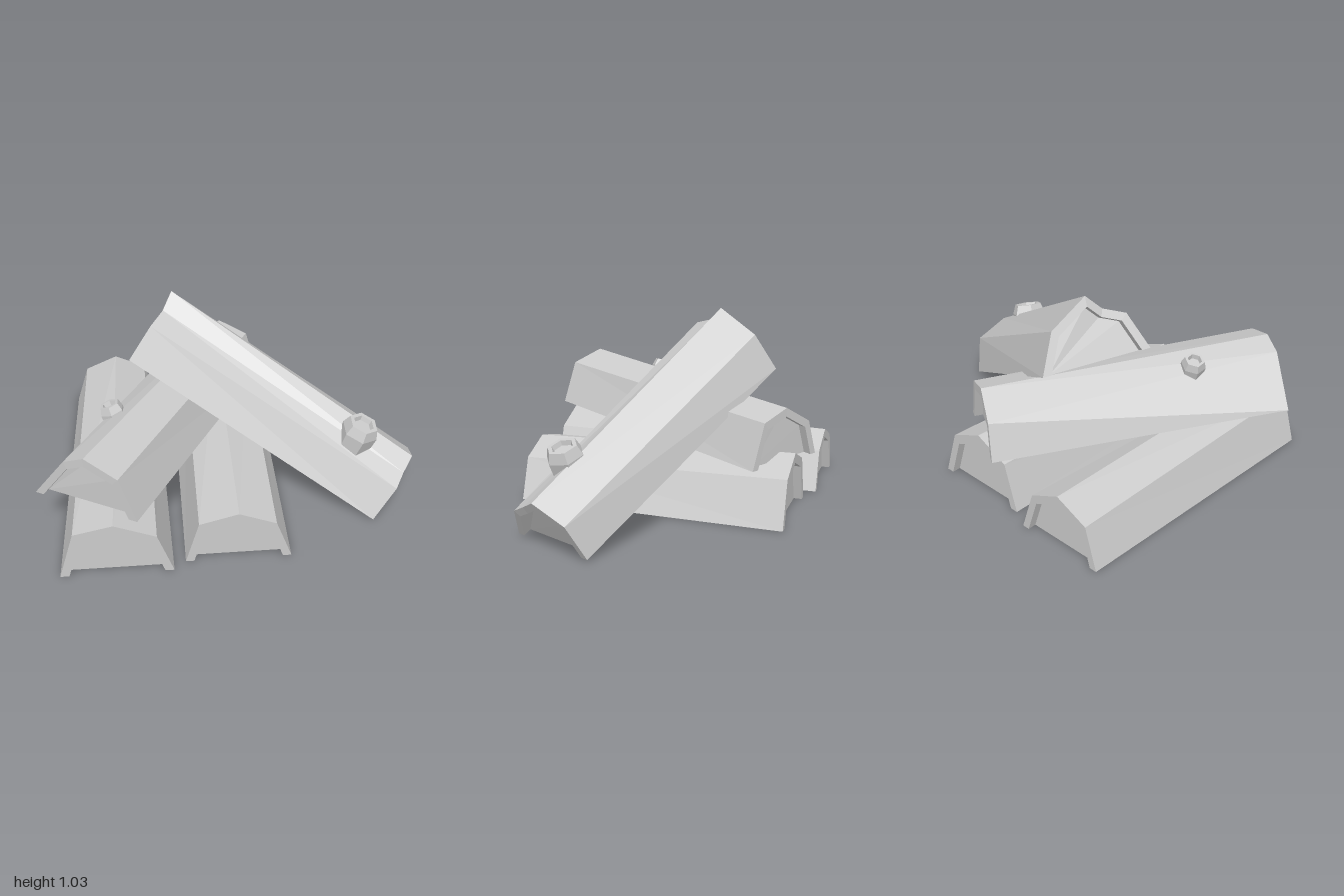
import * as THREE from 'three';

const material = new THREE.MeshStandardMaterial({ color: 0xcccccc, flatShading: true });
const RECESS = 0.045;
const INNER = 0.84;

// Split log lofted between two arch sections, each listed left base -> top -> right base
function makeLog(name, frontPts, backPts) {
  const front = frontPts.map((p) => new THREE.Vector3(...p));
  const back = backPts.map((p) => new THREE.Vector3(...p));
  const n = front.length - 1;
  const pos = [];
  const tri = (...pts) => pts.forEach((p) => pos.push(p.x, p.y, p.z));
  const quad = (a, b, c, d) => { tri(a, b, c); tri(a, c, d); };

  // Bark
  for (let i = 0; i < n; i++) quad(front[i], front[i + 1], back[i + 1], back[i]);

  // End with a bark rim around a recessed wood face
  const addEnd = (outer, far) => {
    const mid = outer[0].clone().add(outer[n]).multiplyScalar(0.5);
    const inset = (p, i) => p.clone().lerp(far[i], RECESS / p.distanceTo(far[i]));
    const inner = outer.map((p) => mid.clone().lerp(p, INNER));
    const farMid = far[0].clone().add(far[n]).multiplyScalar(0.5);
    const shift = farMid.sub(mid).setLength(RECESS);
    const deep = inner.map((p) => p.clone().add(shift));
    const rec = outer.map(inset);
    for (let i = 0; i < n; i++) {
      quad(outer[i], inner[i], inner[i + 1], outer[i + 1]);
      quad(inner[i], deep[i], deep[i + 1], inner[i + 1]);
      if (i > 0) tri(deep[0], deep[i + 1], deep[i]);
    }
    // Undersides of the two rim feet
    quad(outer[0], rec[0], deep[0], inner[0]);
    quad(inner[n], deep[n], rec[n], outer[n]);
    return rec;
  };
  const recF = addEnd(front, back);
  const recB = addEnd([...back].reverse(), [...front].reverse()).reverse();

  // Flat split underside
  quad(recF[0], recB[0], recB[n], recF[n]);

  const geo = new THREE.BufferGeometry();
  geo.setAttribute('position', new THREE.Float32BufferAttribute(pos, 3));
  geo.computeVertexNormals();
  const mesh = new THREE.Mesh(geo, material);
  mesh.name = name;
  return mesh;
}

// Six-sided branch stub with a hollow top
function makeKnot(name, base, tip, radius) {
  const a = new THREE.Vector3(...base);
  const axis = new THREE.Vector3(...tip).sub(a);
  const h = axis.length();
  const profile = [
    [radius * 0.9, -0.05], [radius, h * 0.6], [radius * 0.8, h],
    [radius * 0.58, h], [radius * 0.5, h - 0.025], [0, h - 0.025],
  ].map(([x, y]) => new THREE.Vector2(x, y));
  const mesh = new THREE.Mesh(new THREE.LatheGeometry(profile, 6), material);
  mesh.position.copy(a);
  mesh.quaternion.setFromUnitVectors(new THREE.Vector3(0, 1, 0), axis.normalize());
  mesh.name = name;
  return mesh;
}

export function createModel() {
  const group = new THREE.Group();
  group.name = 'firewoodPile';

  // Two logs lying on the ground
  group.add(makeLog('groundLogRight',
    [[-0.9, 0, 0.77], [-0.82, 0.27, 0.77], [-0.62, 0.315, 0.77], [-0.41, 0.23, 0.77], [-0.33, 0, 0.77]],
    [[-0.86, 0, -0.79], [-0.79, 0.22, -0.79], [-0.61, 0.3, -0.79], [-0.44, 0.22, -0.79], [-0.37, 0, -0.79]]));
  group.add(makeLog('groundLogLeft',
    [[-0.27, 0, 0.715], [-0.2, 0.24, 0.715], [0, 0.295, 0.715], [0.19, 0.22, 0.715], [0.27, 0, 0.715]],
    [[-0.27, 0, -0.74], [-0.19, 0.25, -0.74], [0, 0.335, -0.74], [0.19, 0.25, -0.74], [0.27, 0, -0.74]]));

  // Log laid across them
  group.add(makeLog('crossLog',
    [[-1, 0.35, 0.52], [-0.84, 0.6, 0.61], [-0.74, 0.65, 0.66], [-0.58, 0.59, 0.76], [-0.5, 0.36, 0.8]],
    [[-0.18, 0.29, -0.81], [-0.13, 0.48, -0.78], [0.02, 0.58, -0.69], [0.17, 0.53, -0.61], [0.24, 0.29, -0.57]]));
  group.add(makeKnot('crossLogKnot', [-0.59, 0.54, 0.21], [-0.62, 0.635, 0.195], 0.065));

  // Log leaning on top
  group.add(makeLog('leaningLog',
    [[0.74, 0.01, 0.5], [0.86, 0.18, 0.46], [0.91, 0.225, 0.385], [0.97, 0.275, 0.31], [1, 0.19, 0.13], [0.93, 0.01, 0.05]],
    [[-0.51, 0.75, -0.03], [-0.39, 0.92, -0.08], [-0.32, 0.955, -0.18], [-0.27, 1.03, -0.25], [-0.24, 0.9, -0.45], [-0.29, 0.71, -0.56]]));
  group.add(makeKnot('leaningLogKnot', [0.66, 0.35, 0.25], [0.7, 0.48, 0.27], 0.1));

  return group;
}
